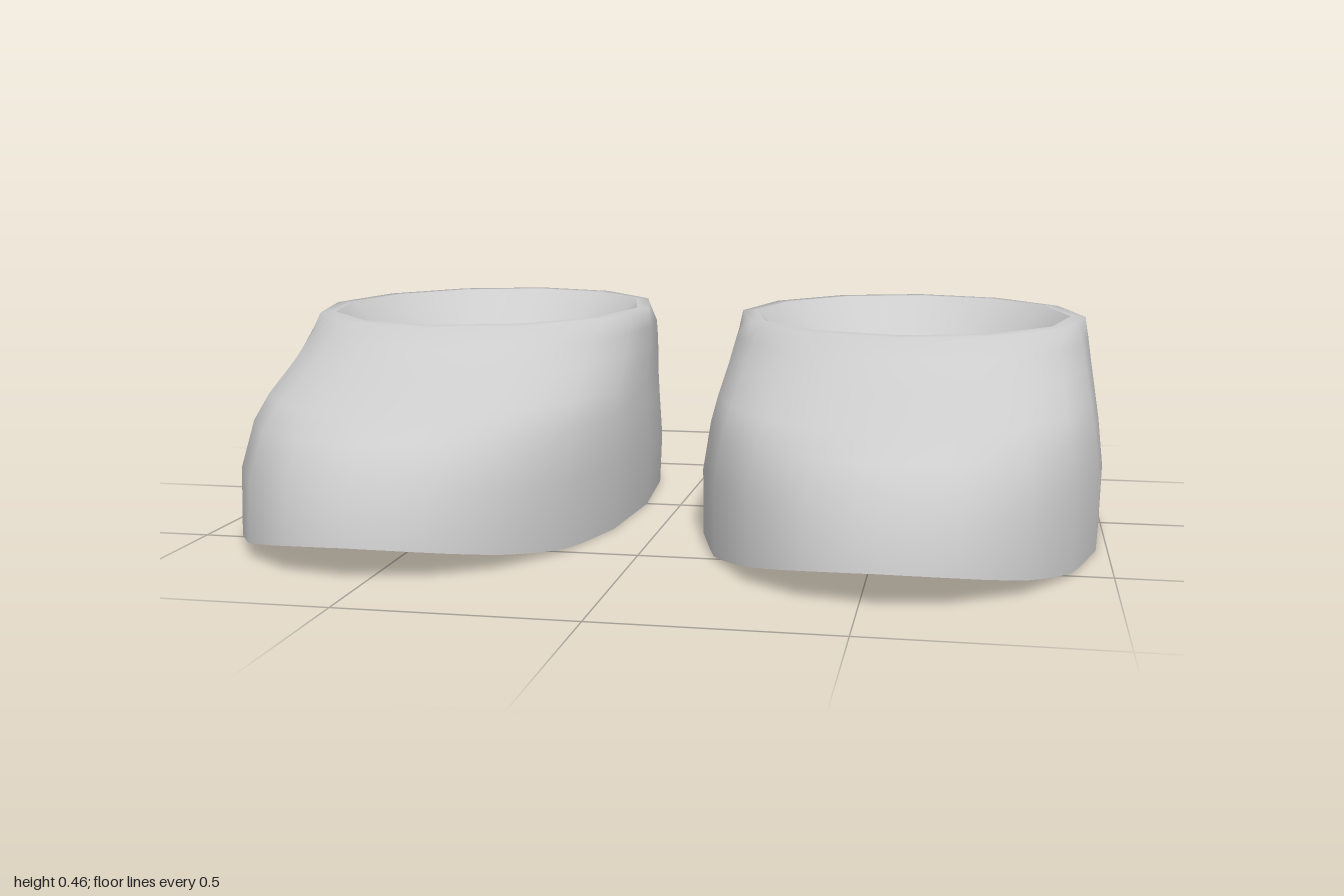
import * as THREE from 'three';

const SAMPLES = 60; // divisible by both the 12-sided rim and the 20-sided body

const lerp = THREE.MathUtils.lerp;

// Point on a unit superellipse, starting at the toe (+z) and turning to +x
function unitPoint(a, power) {
  const s = Math.sin(a), c = Math.cos(a);
  const bend = (v) => (Math.abs(v) < 1e-9 ? 0 : Math.sign(v) * Math.abs(v) ** power);
  return [bend(s), bend(c)];
}

// The same curve cut into straight sides (round = true keeps it curved)
function outline(i, sides, power, round) {
  const turn = (i / SAMPLES) * Math.PI * 2;
  if (round) return unitPoint(turn, power);
  const step = SAMPLES / sides, k = Math.floor(i / step), t = i / step - k;
  const p = unitPoint((k / sides) * Math.PI * 2, power);
  const q = unitPoint(((k + 1) / sides) * Math.PI * 2, power);
  return [lerp(p[0], q[0], t), lerp(p[1], q[1], t)];
}

// Upward curl of the sole under the toe
function soleHeight(z) {
  const t = Math.max(0, (z - 0.4) / 0.42);
  return 0.07 * t ** 1.8;
}

// A ring has toe and heel z, half width, toe and heel height, sides and power
function ringPoint(r, i, round) {
  const [ux, uz] = outline(i, r.sides, r.power, round);
  const z = (r.toe + r.heel) / 2 + (uz * (r.toe - r.heel)) / 2;
  const y = r.sole ? soleHeight(z) : lerp(r.heelY, r.toeY, (1 + uz) / 2);
  return [ux * r.width, y, z];
}

// Skin the rings; normals come from the curved version for soft shading
function loft(rings) {
  const points = (round) => {
    const out = [];
    for (const r of rings) for (let i = 0; i < SAMPLES; i++) out.push(...ringPoint(r, i, round));
    return new THREE.Float32BufferAttribute(out, 3);
  };
  const index = [];
  for (let j = 0; j < rings.length - 1; j++) {
    for (let i = 0; i < SAMPLES; i++) {
      const n = (i + 1) % SAMPLES;
      const a = j * SAMPLES + i, b = j * SAMPLES + n;
      index.push(a, b, b + SAMPLES, a, b + SAMPLES, a + SAMPLES);
    }
  }
  const geometry = new THREE.BufferGeometry();
  geometry.setIndex(index);
  geometry.setAttribute('position', points(true));
  geometry.computeVertexNormals();
  geometry.setAttribute('position', points(false));
  return geometry;
}

const body = (toe, toeY, heel, heelY, width, power = 0.94, sides = 20) =>
  ({ toe, toeY, heel, heelY, width, power, sides });

export function createModel() {
  const grey = new THREE.MeshStandardMaterial({ color: 0xcccccc });
  grey.name = 'light grey';

  // Outer shell from the sole edge up to the flat rim
  const bottom = { ...body(0.82, 0, -0.815, 0, 0.456), sole: true };
  const upper = loft([
    bottom,
    body(0.8, 0.17, -0.82, 0.1, 0.46),
    body(0.73, 0.265, -0.812, 0.22, 0.449),
    body(0.64, 0.31, -0.8, 0.29, 0.441),
    body(0.47, 0.37, -0.78, 0.36, 0.433, 0.96),
    body(0.36, 0.42, -0.75, 0.41, 0.427, 0.98),
    body(0.29, 0.46, -0.72, 0.46, 0.42, 1, 12),
    body(0.24, 0.46, -0.685, 0.46, 0.385, 1, 12),
  ]);

  // Shallow dished hollow for the foot
  const hollowRings = [];
  for (let k = 0; k <= 8; k++) {
    const s = Math.max(1 - k / 8, 0.001), y = 0.46 - 0.22 * (1 - s ** 1.6);
    hollowRings.push(body(-0.2225 + 0.4625 * s, y, -0.2225 - 0.4625 * s, y, 0.385 * s, 1, 12));
  }
  const hollow = loft(hollowRings);

  // Underside, flat at the heel and curling up at the toe
  const sole = loft([0.001, 0.2, 0.4, 0.6, 0.8, 1].map((s) => (
    { ...bottom, toe: bottom.toe * s, heel: bottom.heel * s, width: bottom.width * s }
  )));

  const model = new THREE.Group();
  model.name = 'pairOfShoes';
  for (const [side, x] of [['left', 0.54], ['right', -0.54]]) {
    const shoe = new THREE.Group();
    shoe.name = side + 'Shoe';
    shoe.position.x = x;
    for (const [part, geometry] of Object.entries({ upper, hollow, sole })) {
      const mesh = new THREE.Mesh(geometry, grey);
      mesh.name = part;
      shoe.add(mesh);
    }
    model.add(shoe);
  }
  return model;
}
